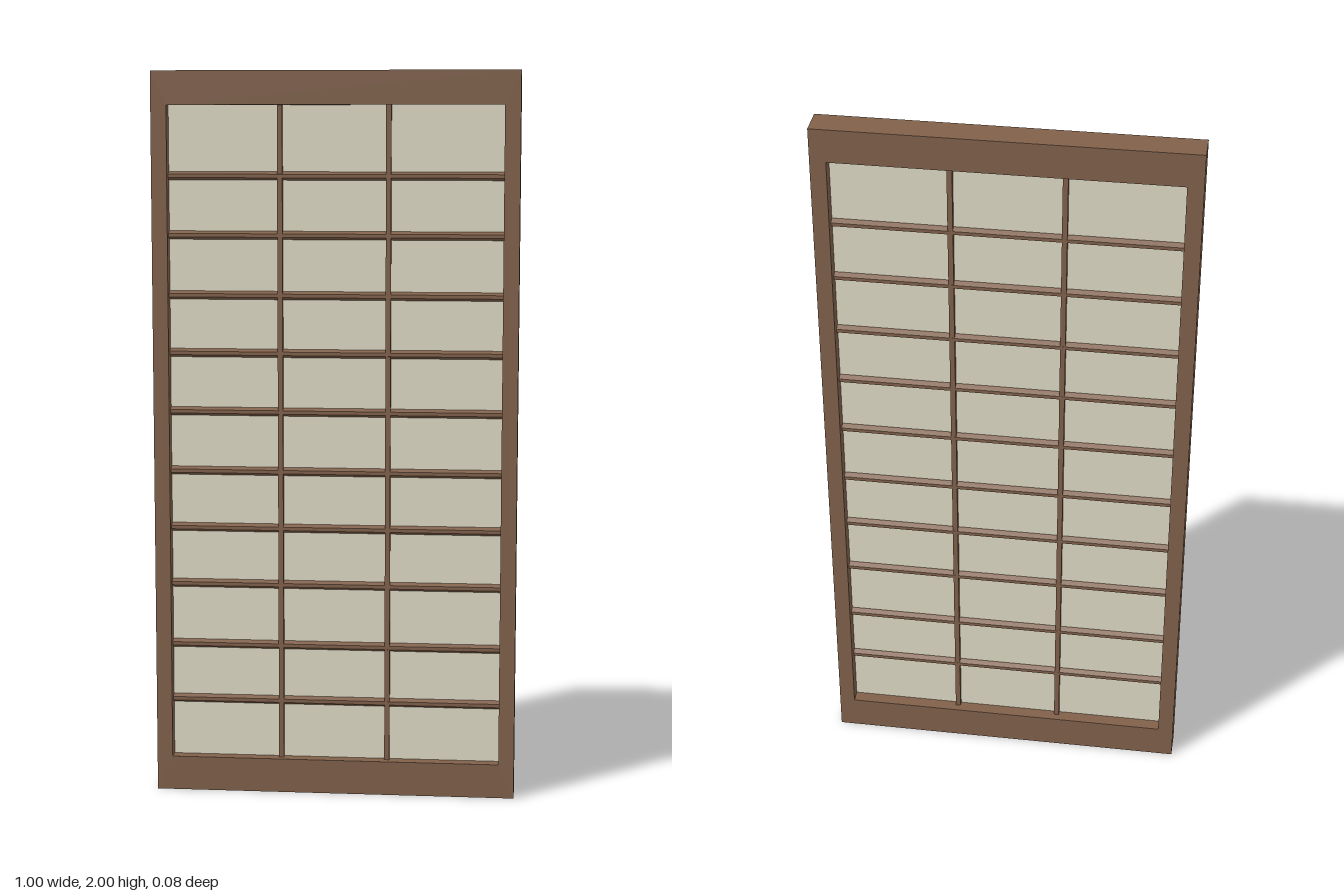
import * as THREE from 'three';

const wood = new THREE.MeshStandardMaterial({ color: 0x80604a, flatShading: true });
const paper = new THREE.MeshStandardMaterial({ color: 0xded9c5 });

export function createModel() {
  const group = new THREE.Group();
  const add = (name, geometry, material, x = 0, y = 0, z = 0) => {
    const mesh = new THREE.Mesh(geometry, material);
    mesh.name = name;
    mesh.position.set(x, y, z);
    group.add(mesh);
    return mesh;
  };

  const W = 1, H = 2, D = 0.083;           // outer frame
  const inX = 0.457, y0 = 0.095, y1 = 1.908; // opening
  const midY = (y0 + y1) / 2, openH = y1 - y0;

  // Outer frame: one slab with a rectangular opening
  const outline = new THREE.Shape([
    new THREE.Vector2(-W / 2, 0), new THREE.Vector2(W / 2, 0),
    new THREE.Vector2(W / 2, H), new THREE.Vector2(-W / 2, H),
  ]);
  outline.holes.push(new THREE.Path([
    new THREE.Vector2(-inX, y0), new THREE.Vector2(-inX, y1),
    new THREE.Vector2(inX, y1), new THREE.Vector2(inX, y0),
  ]));
  add('frame', new THREE.ExtrudeGeometry(outline, { depth: D, bevelEnabled: false }), wood, 0, 0, -D / 2);

  // Paper panel in the middle of the frame
  add('paperPanel', new THREE.BoxGeometry(inX * 2, openH, 0.012), paper, 0, midY, 0);

  // Vertical bars, showing on both sides of the panel
  for (const x of [-0.151, 0.145]) {
    add('verticalBar', new THREE.BoxGeometry(0.014, openH, 0.04), wood, x, midY, 0);
  }

  // Horizontal rods with eight sides, a flat facing the front
  const rod = new THREE.CylinderGeometry(0.0125, 0.0125, inX * 2, 8);
  rod.rotateY(Math.PI / 8).rotateZ(Math.PI / 2);
  rod.scale(1, 1, 1.75);
  for (const y of [0.257, 0.415, 0.587, 0.746, 0.905, 1.071, 1.233, 1.392, 1.556, 1.717]) {
    add('horizontalBar', rod, wood, 0, y, 0);
  }

  return group;
}
